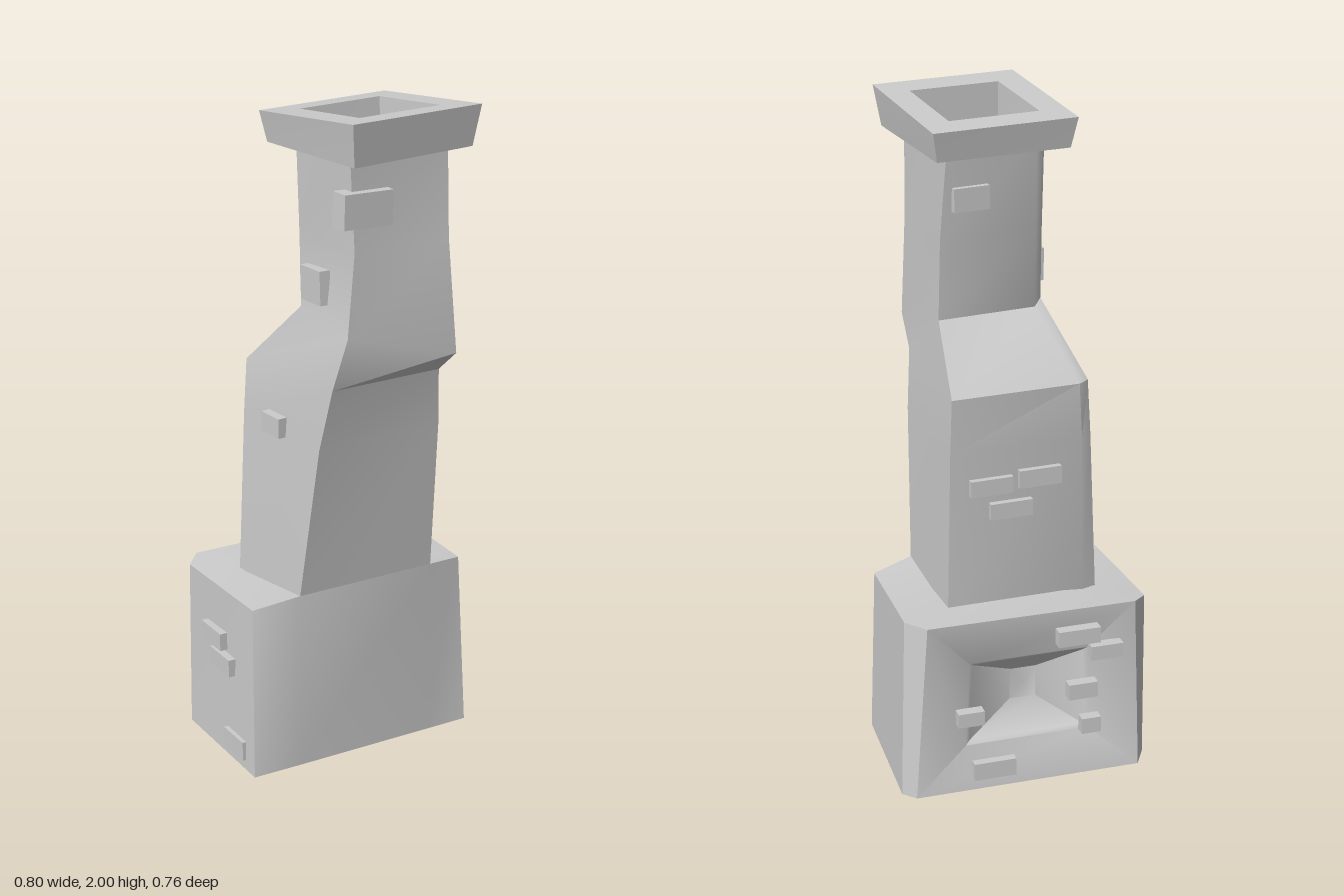
import * as THREE from 'three';
import { toCreasedNormals } from 'three/addons/utils/BufferGeometryUtils.js';

const material = new THREE.MeshStandardMaterial({ color: 0xcccccc });

// Skin a stack of corner rings; optional fans close the ends, skip leaves one side open.
function loft(name, rings, { start = false, end = false, skip = -1, crease = 0.5 } = {}) {
  const pos = [];
  const n = rings[0].length;
  const tri = (a, b, c) => pos.push(...a, ...b, ...c);
  for (let r = 0; r < rings.length - 1; r++) {
    for (let i = 0; i < n; i++) {
      if (i === skip) continue;
      const j = (i + 1) % n;
      const [a, b] = [rings[r], rings[r + 1]];
      tri(a[i], a[j], b[j]);
      tri(a[i], b[j], b[i]);
    }
  }
  const fan = (ring, flip) => {
    const mid = [0, 1, 2].map((k) => ring.reduce((s, p) => s + p[k], 0) / n);
    ring.forEach((p, i) => {
      const q = ring[(i + 1) % n];
      if (flip) tri(mid, q, p);
      else tri(mid, p, q);
    });
  };
  if (start) fan(rings[0], true);
  if (end) fan(rings[rings.length - 1], false);
  const geometry = new THREE.BufferGeometry();
  geometry.setAttribute('position', new THREE.Float32BufferAttribute(pos, 3));
  const mesh = new THREE.Mesh(toCreasedNormals(geometry, crease), material);
  mesh.name = name;
  return mesh;
}

// Brick on the wall line from a to b ([x, z]), at fraction u and height y.
function brick(a, b, u, y, w, h, d = 0.035, tilt = 0) {
  const mesh = new THREE.Mesh(new THREE.BoxGeometry(w, h, d), material);
  mesh.position.set(a[0] + (b[0] - a[0]) * u, y, a[1] + (b[1] - a[1]) * u);
  mesh.rotation.set(0, Math.atan2(a[1] - b[1], b[0] - a[0]), tilt, 'YXZ');
  mesh.name = 'brick';
  return mesh;
}

export function createModel() {
  const group = new THREE.Group();
  group.name = 'chimney';

  // Base block: front left, two shaft seams, front right, two back corners with chamfers
  const baseBottom = [
    [-0.34, 0, 0.215], [-0.185, 0, 0.19], [0.265, 0, 0.113], [0.4, 0, 0.09],
    [0.36, 0, -0.345], [0.32, 0, -0.378], [-0.37, 0, -0.285], [-0.4, 0, -0.21],
  ];
  const baseTop = [
    [-0.325, 0.525, 0.17], [-0.185, 0.56, 0.195], [0.265, 0.56, 0.115], [0.385, 0.54, 0.055],
    [0.34, 0.545, -0.3], [0.28, 0.545, -0.358], [-0.355, 0.54, -0.265], [-0.395, 0.53, -0.21],
  ];
  group.add(loft('base', [baseBottom, baseTop], { start: true, end: true, skip: 5 }));

  // Sunken hearth in the back of the base
  const outer = [baseBottom[5], baseBottom[6], baseTop[6], baseTop[5]];
  const onBack = (u, v, depth) => {
    const p = [0, 1, 2].map((k) =>
      (outer[0][k] * (1 - u) + outer[1][k] * u) * (1 - v) + (outer[3][k] * (1 - u) + outer[2][k] * u) * v);
    return [p[0] + 0.14 * depth, p[1], p[2] + 0.99 * depth];
  };
  const inset = (u0, u1, v0, v1, d) =>
    [onBack(u0, v0, d), onBack(u1, v0, d), onBack(u1, v1, d), onBack(u0, v1, d)];
  group.add(loft('hearth', [
    outer, inset(0.22, 0.78, 0.25, 0.74, 0.025), inset(0.24, 0.76, 0.27, 0.72, 0.035),
    inset(0.45, 0.57, 0.42, 0.6, 0.1),
  ], { end: true, crease: 0.7 }));

  // Leaning shaft: front left, front right, back right, back left chamfer
  group.add(loft('shaft', [
    [[-0.185, 0.56, 0.195], [0.265, 0.56, 0.115], [0.2, 0.53, -0.225], [-0.22, 0.53, -0.15], [-0.262, 0.53, -0.125]],
    [[-0.145, 1.03, 0.25], [0.26, 1.03, 0.17], [0.19, 1.03, -0.23], [-0.21, 1.03, -0.155], [-0.24, 1.03, -0.13]],
    [[-0.12, 1.22, 0.29], [0.25, 1.21, 0.19], [0.185, 1.2, -0.235], [-0.2, 1.2, -0.16], [-0.23, 1.2, -0.13]],
    [[-0.09, 1.38, 0.33], [0.258, 1.29, 0.293], [0.195, 1.38, -0.055], [-0.1, 1.38, 0.02], [-0.12, 1.4, 0.04]],
    [[-0.06, 1.62, 0.305], [0.25, 1.62, 0.245], [0.19, 1.62, -0.065], [-0.1, 1.62, 0.01], [-0.122, 1.62, 0.035]],
    [[-0.075, 1.89, 0.308], [0.25, 1.89, 0.228], [0.17, 1.89, -0.075], [-0.1, 1.89, 0], [-0.125, 1.89, 0.02]],
  ], { crease: 0.6 }));

  // Flared cap with a square flue
  group.add(loft('cap', [
    [[-0.083, 1.875, 0.36], [0.313, 1.88, 0.255], [0.207, 1.872, -0.145], [-0.19, 1.87, -0.04]],
    [[-0.095, 2, 0.38], [0.335, 2, 0.265], [0.22, 1.96, -0.165], [-0.21, 1.96, -0.05]],
    [[-0.035, 1.992, 0.275], [0.235, 1.992, 0.205], [0.162, 1.968, -0.065], [-0.108, 1.968, 0.007]],
    [[-0.035, 1.72, 0.275], [0.232, 1.72, 0.205], [0.163, 1.72, -0.035], [-0.095, 1.72, 0.03]],
  ], { start: true, end: true, crease: 0.2 }));

  // Loose bricks, wall by wall: [u, y, width, height, depth, tilt]
  const walls = [
    { name: 'baseBackBricks', a: [0.3, -0.366], b: [-0.362, -0.275],
      rows: [[0.72, 0.46, 0.13, 0.05], [0.85, 0.4, 0.1, 0.045], [0.22, 0.24, 0.08, 0.045],
        [0.33, 0.06, 0.13, 0.055], [0.74, 0.28, 0.09, 0.05], [0.78, 0.16, 0.06, 0.05]] },
    { name: 'baseLeftBricks', a: [-0.397, -0.21], b: [-0.333, 0.195],
      rows: [[0.42, 0.365, 0.12, 0.055], [0.55, 0.3, 0.12, 0.055], [0.75, 0.06, 0.12, 0.06]] },
    { name: 'shaftBackBricks', a: [0.19, -0.23], b: [-0.21, -0.155],
      rows: [[0.3, 0.92, 0.13, 0.05], [0.67, 0.93, 0.13, 0.055], [0.45, 0.84, 0.13, 0.05]] },
    { name: 'shaftTopBackBrick', a: [0.18, -0.07], b: [-0.1, 0.005],
      rows: [[0.28, 1.74, 0.11, 0.07]] },
    { name: 'shaftLeftBrick', a: [-0.24, -0.13], b: [-0.145, 0.25],
      rows: [[0.45, 1.05, 0.09, 0.06, 0.05]] },
    { name: 'shaftTopLeftBrick', a: [-0.12, 0.04], b: [-0.075, 0.31],
      rows: [[0.35, 1.49, 0.11, 0.1, 0.05, 0.05]] },
    { name: 'shaftFrontBrick', a: [-0.07, 0.303], b: [0.25, 0.235],
      rows: [[0.12, 1.745, 0.16, 0.1, 0.06, -0.03]] },
  ];
  for (const { name, a, b, rows } of walls) {
    const set = new THREE.Group();
    set.name = name;
    for (const row of rows) set.add(brick(a, b, ...row));
    group.add(set);
  }
  return group;
}
